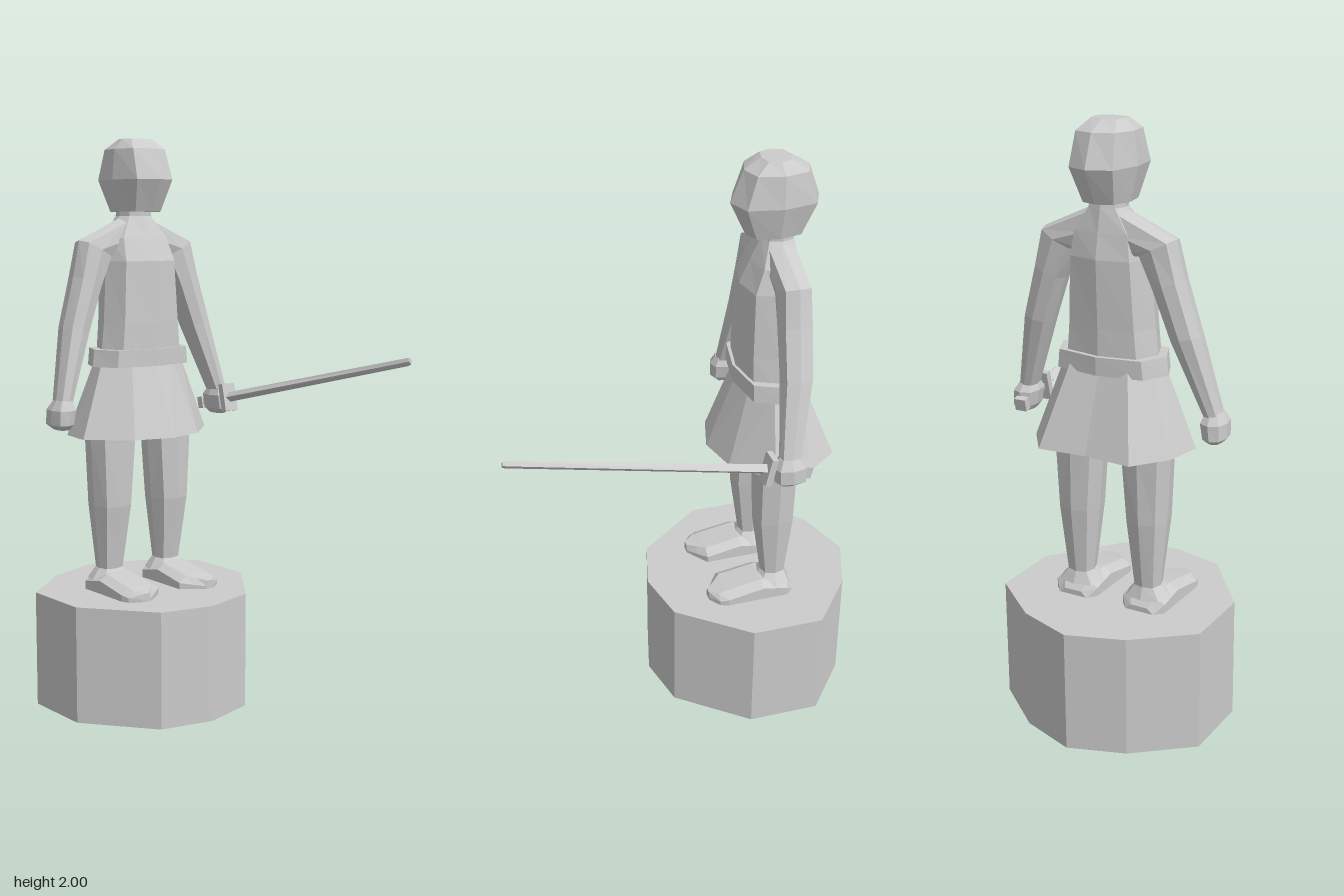
import * as THREE from 'three';

const material = new THREE.MeshStandardMaterial({ color: 0xcccccc, flatShading: true });

// Faceted ring spanning points a and b in the XY plane, with depth z0..z1; k pushes out the diagonals
function ring(ax, ay, bx, by, z0, z1, n = 8, k = 0.78) {
  const pts = [];
  for (let i = 0; i < n; i++) {
    const t = (i / n) * Math.PI * 2;
    let c = Math.cos(t), s = Math.sin(t);
    if (n === 8 && i % 2) { c = Math.sign(c) * k; s = Math.sign(s) * k; }
    if (n === 6) s /= Math.sin(Math.PI / 3);
    pts.push([(ax + bx) / 2 + c * (ax - bx) / 2, (ay + by) / 2 + c * (ay - by) / 2, (z0 + z1) / 2 + s * (z1 - z0) / 2]);
  }
  return pts;
}
const level = (y, x0, x1, z0, z1, n, k) => ring(x1, y, x0, y, z0, z1, n, k);

// Closed skin over successive rings, turned outward by its signed volume
function loft(name, rings) {
  const tris = [], n = rings[0].length;
  for (let r = 0; r < rings.length - 1; r++) {
    const a = rings[r], b = rings[r + 1];
    for (let i = 0; i < n; i++) {
      const j = (i + 1) % n;
      tris.push([a[i], a[j], b[j]], [a[i], b[j], b[i]]);
    }
  }
  [[rings[0], false], [rings[rings.length - 1], true]].forEach(([cap, end]) => {
    const mid = [0, 1, 2].map(d => cap.reduce((s, p) => s + p[d], 0) / n);
    for (let i = 0; i < n; i++) {
      const j = (i + 1) % n;
      tris.push(end ? [mid, cap[i], cap[j]] : [mid, cap[j], cap[i]]);
    }
  });
  const v = p => new THREE.Vector3(...p);
  const volume = tris.reduce((s, [a, b, c]) => s + v(a).dot(v(b).cross(v(c))), 0);
  if (volume < 0) tris.forEach(t => t.reverse());
  const g = new THREE.BufferGeometry();
  g.setAttribute('position', new THREE.Float32BufferAttribute(tris.flat(2), 3));
  g.computeVertexNormals();
  const mesh = new THREE.Mesh(g, material);
  mesh.name = name;
  return mesh;
}

// Outline given for x >= 0 (front to back), completed by mirroring
const mirrored = half => [...half, ...half.slice(1, -1).reverse().map(([x, z]) => [-x, z])];
const mirrorRing = (r, s) => r.map(([x, y, z]) => [x * s, y, z]);

export function createModel() {
  const model = new THREE.Group();
  model.name = 'statue';

  // Ten-sided pedestal
  const base = mirrored([[0, 0.103], [0.19, 0.057], [0.375, -0.18], [0.375, -0.43], [0.19, -0.58], [0, -0.645]]);
  const pedestal = loft('pedestal', [0, 0.412].map(y => base.map(([x, z]) => [x, y, z])));
  pedestal.position.x = 0.008;
  model.add(pedestal);

  const figure = new THREE.Group();
  figure.name = 'figure';
  figure.position.x = 0.007;
  model.add(figure);

  // Head and neck
  figure.add(loft('head', [
    level(1.75, -0.07, 0.07, -0.42, -0.23),
    level(1.86, -0.098, 0.098, -0.473, -0.178),
    level(1.965, -0.088, 0.088, -0.435, -0.22),
    level(2.0, -0.058, 0.058, -0.37, -0.275),
  ]));
  figure.add(loft('neck', [
    level(1.66, -0.08, 0.08, -0.40, -0.275),
    level(1.735, -0.06, 0.06, -0.39, -0.285),
    level(1.78, -0.06, 0.06, -0.38, -0.285),
  ]));

  // Torso, belt and skirt
  figure.add(loft('torso', [
    level(1.22, -0.165, 0.165, -0.415, -0.21),
    level(1.36, -0.15, 0.15, -0.415, -0.21),
    level(1.58, -0.135, 0.135, -0.42, -0.215),
    level(1.66, -0.12, 0.12, -0.405, -0.25),
    level(1.735, -0.06, 0.06, -0.39, -0.285),
  ]));
  figure.add(loft('belt', [
    level(1.215, -0.198, 0.198, -0.43, -0.2),
    level(1.275, -0.19, 0.19, -0.43, -0.2),
  ]));
  const hem = mirrored([[0, -0.112], [0.14, -0.15], [0.272, -0.27], [0.25, -0.4], [0.165, -0.513], [0, -0.5]]);
  figure.add(loft('skirt', [[0.97, 1, 1], [1.235, 0.64, 0.5]].map(([y, sx, sz]) =>
    hem.map(([x, z]) => [x * sx, y, -0.312 + (z + 0.312) * sz]))));

  for (const s of [1, -1]) {
    const side = s > 0 ? 'left' : 'right';
    const part = (name, rings) => figure.add(loft(side + name, rings.map(r => mirrorRing(r, s))));

    // Arm, from inside the chest over the shoulder to the wrist
    part('Arm', [
      ring(0.06, 1.73, 0.06, 1.58, -0.39, -0.28),
      ring(0.235, 1.652, 0.115, 1.59, -0.39, -0.28),
      ring(0.262, 1.53, 0.165, 1.49, -0.39, -0.275),
      ring(0.312, 1.36, 0.222, 1.34, -0.38, -0.27),
      ring(0.372, 1.10, 0.322, 1.085, -0.325, -0.25),
    ]);
    part('Hand', [
      level(1.112, 0.32, 0.372, -0.32, -0.25),
      level(1.08, 0.308, 0.39, -0.345, -0.232),
      level(1.03, 0.318, 0.39, -0.345, -0.235),
      level(1.012, 0.33, 0.37, -0.32, -0.255),
    ]);

    // Leg with a slight calf, flaring at the ankle cuff
    part('Leg', [
      level(1.05, 0.035, 0.21, -0.4, -0.235),
      level(0.95, 0.04, 0.208, -0.395, -0.24),
      level(0.72, 0.06, 0.195, -0.392, -0.245),
      level(0.49, 0.084, 0.172, -0.368, -0.28),
      level(0.45, 0.05, 0.208, -0.385, -0.25),
    ]);

    // Foot: upright sections from heel to toe [z, inner x, outer x, top y]
    part('Foot', [
      [-0.39, 0.075, 0.18, 0.43], [-0.36, 0.05, 0.208, 0.462], [-0.27, 0.05, 0.208, 0.478],
      [-0.14, 0.048, 0.21, 0.455], [-0.112, 0.085, 0.2, 0.448], [-0.082, 0.125, 0.16, 0.442],
    ].map(([z, x0, x1, y]) => {
      const inset = (x1 - x0) * 0.2;
      return [[x0, 0.41, z], [x1, 0.41, z], [x1, y - 0.02, z], [x1 - inset, y, z], [x0 + inset, y, z], [x0, y - 0.02, z]];
    }));
  }

  // Sword held in the left hand, built along +z and then tilted
  const sword = new THREE.Group();
  sword.name = 'sword';
  const section = (z, w, h) => [[w, 0, z], [0, h, z], [-w, 0, z], [0, -h, z]];
  sword.add(loft('blade', [section(0, 0.021, 0.018), section(0.875, 0.009, 0.013), section(0.885, 0.007, 0.01)]));
  const guard = new THREE.Mesh(new THREE.BoxGeometry(0.06, 0.1, 0.022), material);
  guard.name = 'guard';
  const grip = new THREE.Mesh(new THREE.CylinderGeometry(0.017, 0.017, 0.13, 6).rotateX(Math.PI / 2), material);
  grip.name = 'grip';
  grip.position.z = -0.07;
  const pommel = new THREE.Mesh(new THREE.BoxGeometry(0.042, 0.042, 0.025), material);
  pommel.name = 'pommel';
  pommel.position.z = -0.135;
  sword.add(guard, grip, pommel);
  sword.position.set(0.349, 1.075, -0.218);
  sword.rotation.set(-0.225, 0.033, 0);
  model.add(sword);

  return model;
}
